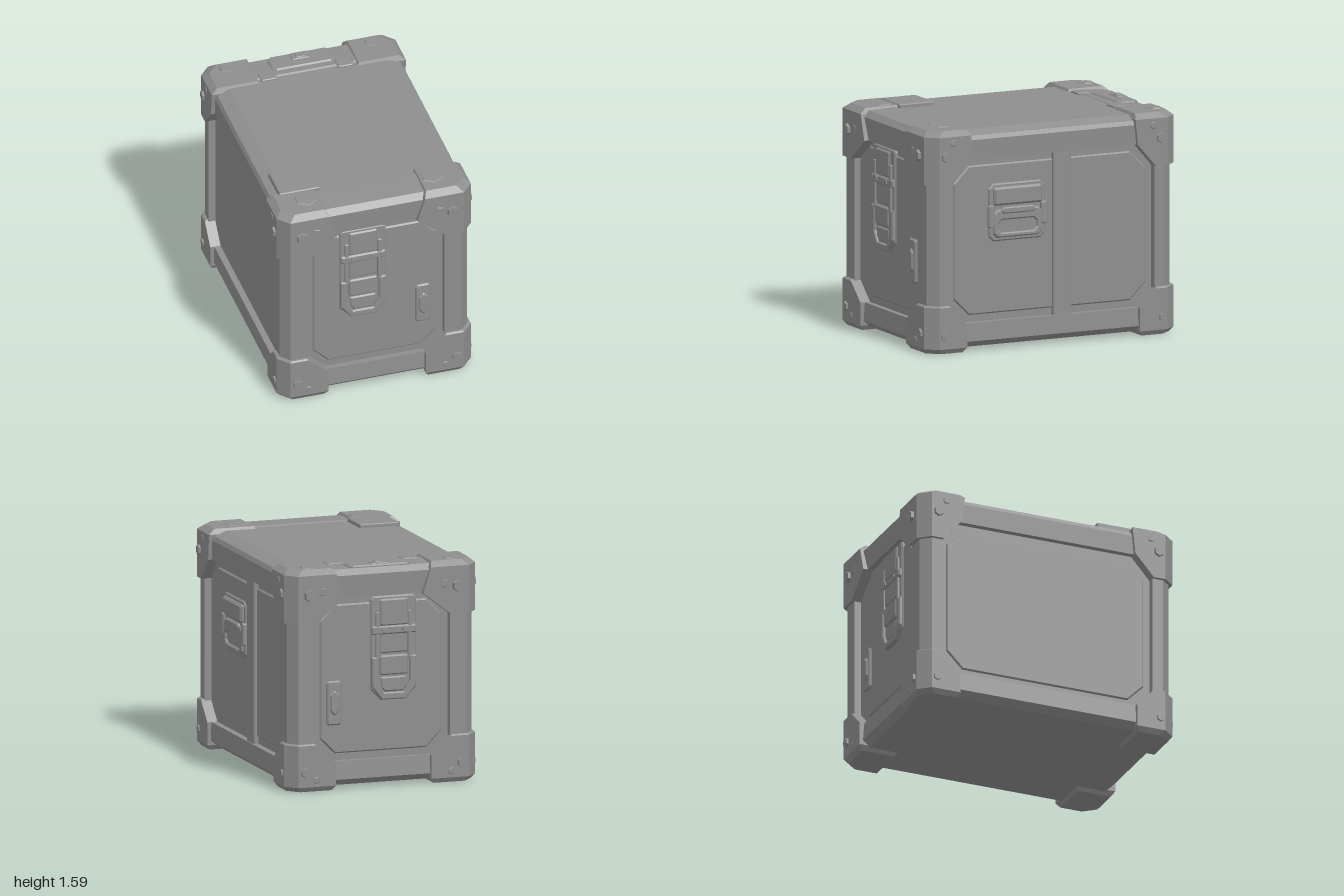
import * as THREE from 'three';
import { ConvexGeometry } from 'three/addons/geometries/ConvexGeometry.js';

const metal = new THREE.MeshStandardMaterial({ color: 0x8e8e8e, flatShading: true });
metal.name = 'grey metal';

function add(parent, name, geometry) {
  const mesh = new THREE.Mesh(geometry, metal);
  mesh.name = name;
  parent.add(mesh);
  return mesh;
}

// Convex solid from corner points, mirrored by the signs sx and sz
function hull(parent, name, pts, sx = 1, sz = 1) {
  return add(parent, name, new ConvexGeometry(pts.map(([x, y, z]) => new THREE.Vector3(x * sx, y, z * sz))));
}

// Rectangle outline with cut corners: bottom cut cb, top cut ct
function cutRect(u0, u1, v0, v1, cb, ct = cb) {
  return [[u0 + cb, v0], [u1 - cb, v0], [u1, v0 + cb], [u1, v1 - ct],
    [u1 - ct, v1], [u0 + ct, v1], [u0, v1 - ct], [u0, v0 + cb]];
}

// Bevelled plate standing on w0 and reaching w1; the outline is its full size
function plate(parent, name, outline, w0, w1, bevel = 0.01, hole = null) {
  const shape = new THREE.Shape(outline.map(p => new THREE.Vector2(...p)));
  if (hole) shape.holes.push(new THREE.Path(hole.map(p => new THREE.Vector2(...p))));
  const geo = new THREE.ExtrudeGeometry(shape, {
    depth: w1 - w0 - bevel, bevelEnabled: true, bevelSegments: 1,
    bevelSize: bevel, bevelOffset: -bevel, bevelThickness: bevel,
  });
  geo.translate(0, 0, w0);
  return add(parent, name, geo);
}

function bolt(parent, u, v, w, r, h) {
  const geo = new THREE.CylinderGeometry(r * 0.85, r, h, 6);
  geo.rotateX(Math.PI / 2);
  geo.translate(u, v, w + h / 2);
  add(parent, 'bolt', geo);
}

// Group whose local +z points out of one wall
function wall(root, name, angle, distance) {
  const g = new THREE.Group();
  g.name = name;
  g.rotation.y = angle;
  g.position.set(Math.sin(angle) * distance, 0, Math.cos(angle) * distance);
  root.add(g);
  return g;
}

// One level of a corner guard: inner limits xi, zi and an outer inset d
function guardRing(y, xi, zi, d = 0) {
  const X = 0.71 - d, Z = 0.975 - d;
  return [[xi, y, zi], [X, y, zi], [X, y, Z - 0.085], [X - 0.075, y, Z], [xi, y, Z]];
}

// Long buckle on the end walls
function endLatch(parent, u) {
  const g = new THREE.Group();
  g.name = 'endLatch';
  g.position.x = u;
  parent.add(g);
  plate(g, 'latchBase', cutRect(-0.17, 0.17, 0.61, 1.35, 0.08, 0.02), 0.0, 0.025);
  plate(g, 'latchRim', [[-0.09, 0.615], [0.09, 0.615], [0.165, 0.71], [0.165, 0.92], [0.115, 0.92],
    [0.115, 0.74], [0.075, 0.665], [-0.075, 0.665], [-0.115, 0.74], [-0.115, 0.92], [-0.165, 0.92], [-0.165, 0.71]],
  0.02, 0.045, 0.008);
  plate(g, 'latchHinge', cutRect(-0.105, 0.105, 1.14, 1.33, 0.01), 0.02, 0.04);
  plate(g, 'latchStrap', cutRect(-0.105, 0.105, 0.945, 1.14, 0.005), 0.02, 0.035);
  plate(g, 'latchGrip', cutRect(-0.105, 0.105, 0.79, 0.93, 0.01), 0.02, 0.045);
  plate(g, 'latchTip', cutRect(-0.095, 0.095, 0.67, 0.775, 0.03, 0.005), 0.02, 0.035);
  plate(g, 'latchBar', cutRect(-0.165, 0.165, 1.08, 1.14, 0.008), 0.02, 0.045);
  for (const s of [-1, 1]) {
    const a = s * 0.105, b = s * 0.135;
    plate(g, 'latchRail', cutRect(Math.min(a, b), Math.max(a, b), 0.9, 1.24, 0.004), 0.02, 0.042, 0.004);
    bolt(g, s * 0.075, 1.11, 0.044, 0.02, 0.008);
  }
}

// Ribbed latch on the side wall
function sideLatch(parent) {
  const g = new THREE.Group();
  g.name = 'sideLatch';
  parent.add(g);
  plate(g, 'latchBase', cutRect(-0.48, -0.04, 0.76, 1.17, 0.035), 0, 0.025);
  plate(g, 'latchUpperFlap', cutRect(-0.45, -0.07, 1.015, 1.145, 0.012), 0.02, 0.05, 0.015);
  plate(g, 'latchLowerFlap', cutRect(-0.45, -0.07, 0.785, 0.985, 0.03), 0.02, 0.042, 0.01,
    cutRect(-0.41, -0.11, 0.82, 0.91, 0.025).reverse());
  plate(g, 'latchPull', cutRect(-0.39, -0.13, 0.955, 1.0, 0.015), 0.03, 0.05, 0.008);
  for (const u of [-0.465, -0.055])
    plate(g, 'latchHinge', cutRect(u - 0.025, u + 0.025, 0.86, 1.02, 0.01), 0.02, 0.045, 0.006);
}

export function createModel() {
  const root = new THREE.Group();
  root.name = 'crate';

  // Body
  const core = new THREE.BoxGeometry(1.27, 1.47, 1.8);
  core.translate(0, 0.77, 0);
  add(root, 'body', core);

  // Lid with sloping long edges, and the base tray
  const lid = [], base = [];
  for (const x of [-1, 1]) for (const z of [-0.7, 0.7]) {
    lid.push([x * 0.68, 1.36, z], [x * 0.685, 1.5, z], [x * 0.67, 1.53, z], [x * 0.58, 1.56, z]);
    base.push([x * 0.68, 0.2, z], [x * 0.685, 0.07, z], [x * 0.63, 0.025, z]);
  }
  hull(root, 'lid', lid);
  hull(root, 'baseTray', base);

  // Cross beams on both ends
  for (const sz of [-1, 1]) {
    const top = [], bottom = [];
    for (const x of [-0.4, 0.4]) {
      top.push([x, 1.36, 0.94], [x, 1.52, 0.95], [x, 1.56, 0.91], [x, 1.568, 0.7], [x, 1.54, 0.66], [x, 1.36, 0.66]);
      bottom.push([x, 0.2, 0.94], [x, 0.07, 0.95], [x, 0.025, 0.9], [x, 0.025, 0.66], [x, 0.2, 0.66]);
    }
    hull(root, 'topBeam', top, 1, sz);
    hull(root, 'bottomBeam', bottom, 1, sz);
  }

  // Upright posts and corner guards
  for (const sx of [-1, 1]) for (const sz of [-1, 1]) {
    const post = [];
    for (const y of [0.25, 1.3])
      post.push([0.5, y, 0.8], [0.685, y, 0.8], [0.685, y, 0.88], [0.625, y, 0.95], [0.5, y, 0.95]);
    hull(root, 'cornerPost', post, sx, sz);
    hull(root, 'lowerCornerGuard', [...guardRing(0, 0.38, 0.7, 0.025), ...guardRing(0.035, 0.355, 0.675),
      ...guardRing(0.2, 0.355, 0.675), ...guardRing(0.33, 0.5, 0.8), ...guardRing(0.34, 0.51, 0.81, 0.01)], sx, sz);
    hull(root, 'upperCornerGuard', [...guardRing(1.2, 0.5, 0.8), ...guardRing(1.36, 0.295, 0.66),
      ...guardRing(1.54, 0.35, 0.64), ...guardRing(1.578, 0.37, 0.66, 0.045)], sx, sz);
  }

  // End walls: panel, latch, small handle plate and bolts
  for (const [name, angle, s] of [['frontWall', 0, 1], ['backWall', Math.PI, -1]]) {
    const g = wall(root, name, angle, 0.9);
    plate(g, 'endPanel', cutRect(-0.45, 0.45, 0.25, 1.31, 0.11), -0.01, 0.012);
    endLatch(g, -0.09 * s);
    const u = 0.35 * s;
    plate(g, 'handlePlate', cutRect(u - 0.055, u + 0.055, 0.455, 0.77, 0.015), 0, 0.03);
    plate(g, 'handleGrip', cutRect(u - 0.035, u + 0.035, 0.53, 0.7, 0.028), 0.025, 0.045);
    for (const m of [-1, 1]) {
      bolt(g, m * 0.55, 1.4, 0.07, 0.045, 0.025);
      bolt(g, m * 0.58, 0.14, 0.07, 0.038, 0.02);
      plate(g, 'guardStud', [[m * 0.45 - 0.03, 1.4], [m * 0.45 + 0.01, 1.39], [m * 0.45 + 0.03, 1.44],
        [m * 0.45 - 0.01, 1.45]], 0.07, 0.08, 0.004);
      plate(g, 'guardStud', cutRect(m * 0.5 - 0.022, m * 0.5 + 0.022, 0.06, 0.105, 0.012), 0.07, 0.08, 0.004);
    }
  }

  // Side walls
  for (const [name, angle] of [['leftWall', Math.PI / 2], ['rightWall', -Math.PI / 2]]) {
    const g = wall(root, name, angle, 0.635);
    plate(g, 'sidePanel', cutRect(-0.75, 0.75, 0.25, 1.31, 0.12), -0.01, 0.012);
    if (name === 'leftWall') {
      plate(g, 'divider', cutRect(0.02, 0.16, 0.19, 1.37, 0.001), 0, 0.035, 0.008);
      const latch = new THREE.Group();
      latch.name = 'latchMount';
      g.add(latch);
      sideLatch(latch);
    }
    for (const m of [-1, 1]) {
      bolt(g, m * 0.84, 1.4, 0.07, 0.04, 0.02);
      bolt(g, m * 0.85, 0.125, 0.07, 0.03, 0.016);
      plate(g, 'guardStud', cutRect(m * 0.78 - 0.022, m * 0.78 + 0.022, 1.47, 1.515, 0.01), 0.07, 0.08, 0.004);
    }
  }

  // Fittings on the lid, laid flat: local v runs towards the back
  const deck = new THREE.Group();
  deck.name = 'lidFittings';
  deck.rotation.x = -Math.PI / 2;
  root.add(deck);
  plate(deck, 'lidPlate', cutRect(-0.62, -0.33, -0.68, -0.41, 0.004), 1.54, 1.587, 0.006);
  plate(deck, 'rearCatch', cutRect(-0.23, 0.23, 0.75, 0.91, 0.03), 1.55, 1.577);
  plate(deck, 'rearCatchKey', cutRect(-0.065, 0.065, 0.82, 0.9, 0.008), 1.57, 1.585, 0.006);
  plate(deck, 'rearCatchButton', cutRect(-0.035, 0.035, 0.83, 0.885, 0.005), 1.58, 1.592, 0.004);
  for (const m of [-1, 1]) {
    bolt(deck, m * 0.53, 0.87, 1.575, 0.06, 0.012);
    bolt(deck, m * 0.46, -0.77, 1.575, 0.09, 0.01);
    plate(deck, 'rearClip', cutRect(m * 0.28 - 0.06, m * 0.28 + 0.06, 0.66, 0.76, 0.01), 1.55, 1.574, 0.006);
  }
  return root;
}
